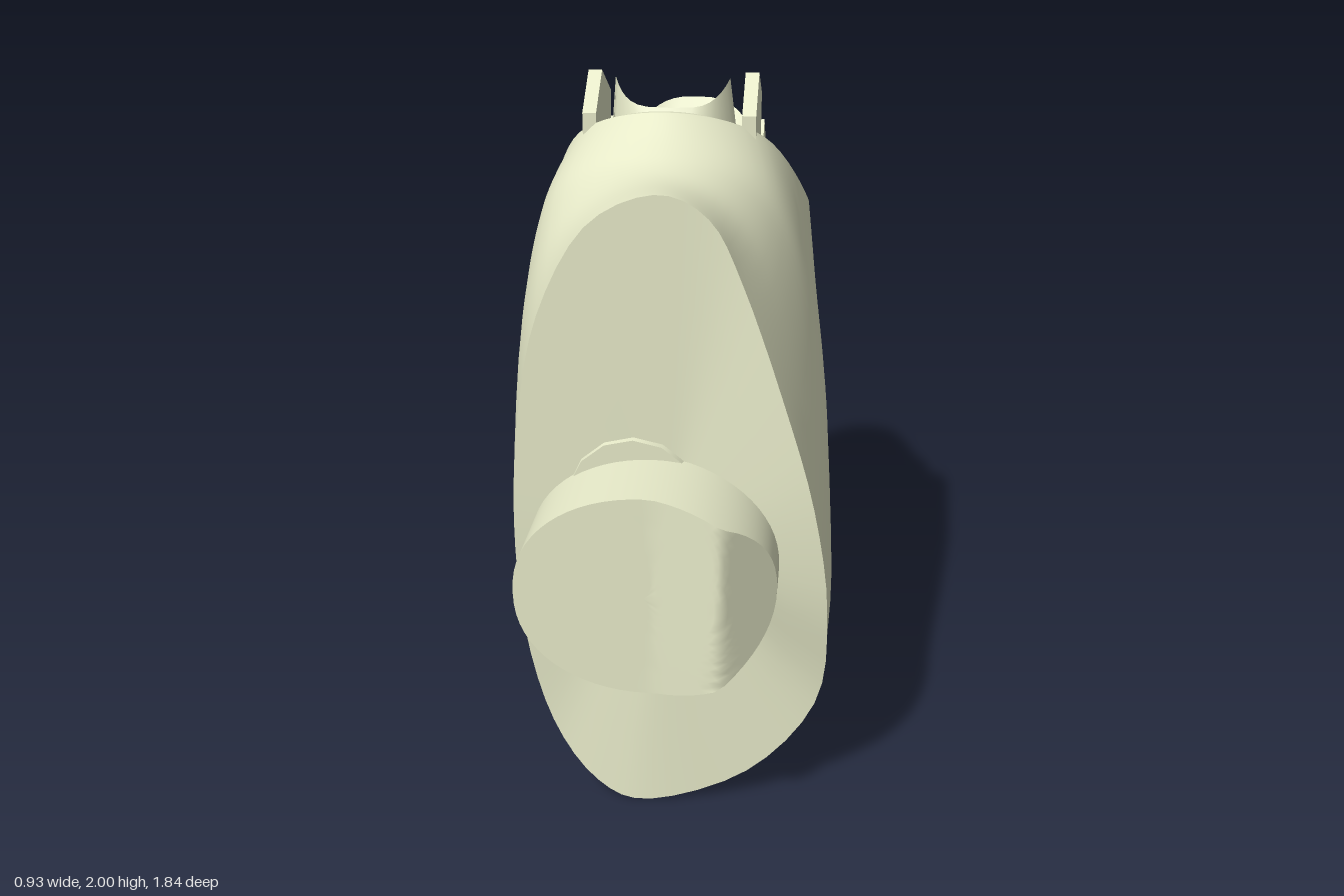
import * as THREE from 'three';

const N = 64; // points around each ring
const V = (x, y, z) => new THREE.Vector3(x, y, z);
const material = new THREE.MeshStandardMaterial({ color: 0xe6e9c8 });

// Ring points run top, left (+x), bottom, right
function ring(fn) {
  return Array.from({ length: N }, (_, j) => fn((j / N) * Math.PI * 2));
}

function splineRing(pts) {
  const c = new THREE.CatmullRomCurve3(pts.map(p => V(...p)), true, 'catmullrom', 0.5);
  return Array.from({ length: N }, (_, j) => c.getPoint(j / N));
}

// Skin a list of equal-length closed rings
function loft(name, rings) {
  const pos = [], idx = [];
  rings.forEach(r => r.forEach(p => pos.push(p.x, p.y, p.z)));
  for (let i = 0; i < rings.length - 1; i++) {
    for (let j = 0; j < N; j++) {
      const k = (j + 1) % N;
      const a = i * N + j, b = i * N + k, c = a + N, d = b + N;
      idx.push(a, b, c, b, d, c);
    }
  }
  const g = new THREE.BufferGeometry();
  g.setAttribute('position', new THREE.Float32BufferAttribute(pos, 3));
  g.setIndex(idx);
  g.computeVertexNormals();
  const m = new THREE.Mesh(g, material);
  m.name = name;
  return m;
}

const blend = (from, to, t) => from.map((p, j) => p.clone().lerp(to[j], t));

export function createModel() {
  const group = new THREE.Group();
  group.name = 'model';

  // Outline of the front face
  const outline = [
    [-.02, 1.83, .62], [.12, 1.77, .62], [.21, 1.6, .63], [.32, 1.3, .66],
    [.41, 1, .68], [.455, .68, .66], [.43, .34, .59], [.24, .1, .6],
    [-.04, 0, .63], [-.2, .05, .62], [-.33, .24, .6], [-.4, .55, .61],
    [-.415, .9, .62], [-.39, 1.22, .62], [-.33, 1.5, .62], [-.2, 1.74, .62],
  ];
  // Body sections behind it, ending at the top rim
  const sections = [outline,
    [[-.03, 1.81, .42], [.25, 1.6, .4], [.445, .9, .42], [.4, .38, .34],
      [-.04, .08, .26], [-.4, .38, .34], [-.45, .95, .4], [-.36, 1.6, .4]],
    [[-.04, 1.82, .3], [.26, 1.66, .2], [.43, 1.08, .12], [.34, .56, -.02],
      [-.05, .3, -.14], [-.4, .6, -.02], [-.465, 1.1, .12], [-.38, 1.66, .2]],
    [[-.05, 1.86, .2], [.26, 1.73, .08], [.39, 1.3, -.15], [.29, 1, -.4],
      [-.05, .88, -.55], [-.38, 1, -.4], [-.46, 1.3, -.15], [-.37, 1.73, .08]],
    [[-.05, 1.925, .09], [.22, 1.83, -.06], [.35, 1.55, -.4], [.24, 1.53, -.75],
      [-.05, 1.68, -.92], [-.34, 1.53, -.75], [-.45, 1.55, -.4], [-.32, 1.83, -.06]],
  ].map(splineRing);
  const strands = sections[0].map((_, j) =>
    new THREE.CatmullRomCurve3(sections.map(s => s[j]), false, 'catmullrom', 0.5));
  const skin = Array.from({ length: 25 }, (_, i) => strands.map(s => s.getPoint(i / 24)));
  group.add(loft('body', skin));

  // Slightly dished front face
  const face = skin[0];
  const middle = face.map(() => V(0, .85, .61));
  group.add(loft('frontFace', [0, .25, .5, .75, 1].map(t => blend(middle, face, t))));

  // Rounded lip running inward from the rim
  const rim = skin[24];
  const lip = ring(a => {
    const c = Math.cos(a), s = Math.sin(a);
    return V(-.05 + .25 * Math.sign(s) * Math.abs(s) ** .7, 1.63 + .045 * c + .195 * c * c, -.43 + .44 * c);
  });
  const lipRings = [0, .25, .5, .75, 1].map(t => {
    const r = blend(rim, lip, t);
    r.forEach(p => { p.y += .018 * Math.sin(t * Math.PI); });
    return r;
  });
  group.add(loft('rimLip', lipRings));

  // Deep pocket slanting forward; its front edge rises to meet the plates
  const pocketRing = fn => ring(a => {
    const c = Math.cos(a), s = Math.sin(a);
    const x = -.05 + .21 * Math.sign(s) * Math.abs(s) ** .5;
    return fn(x, c);
  });
  const mouth = pocketRing((x, c) => {
    const z = -.425 + .405 * c;
    return V(x, z > -.13 ? 1.9 - .77 * z : 1.59 + .045 * c + .185 * c * c, z);
  });
  const floor = pocketRing((x, c) => V(x, .5, .175 + .225 * c));
  group.add(loft('pocketEdge', [lip, mouth]));
  group.add(loft('pocketWall', [mouth, floor]));
  group.add(loft('pocketFloor', [floor, floor.map(() => V(-.05, .5, .175))]));

  // Notched plates on both sides of the pocket
  const plate = new THREE.Shape();
  plate.moveTo(0, 1.65);
  plate.lineTo(0, 1.9);
  plate.lineTo(-.13, 2);
  plate.lineTo(-.295, 1.91);
  plate.lineTo(-.28, 1.81);
  plate.quadraticCurveTo(-.32, 1.73, -.39, 1.73);
  plate.quadraticCurveTo(-.46, 1.735, -.485, 1.79);
  plate.lineTo(-.67, 1.64);
  plate.lineTo(-.68, 1.58);
  plate.lineTo(-.4, 1.55);
  plate.closePath();
  const plateGeo = new THREE.ExtrudeGeometry(plate, { depth: .04, bevelEnabled: false, curveSegments: 8 });
  plateGeo.rotateY(-Math.PI / 2);
  for (const [name, x] of [['leftPlate', .2], ['rightPlate', -.26]]) {
    const m = new THREE.Mesh(plateGeo, material);
    m.name = name;
    m.position.x = x;
    group.add(m);
  }

  // Front peg with a wavy end that falls away on its left
  const endZ = x => x < 0 ? .87 : x < .18 ? .87 + .05 * (x / .18) : .92 - (x - .18);
  const pegRing = (t, z) => ring(a => {
    const x = -.025 + t * .345 * Math.sin(a);
    const c = Math.cos(a);
    return V(x, .818 + t * .288 * Math.sign(c) * Math.abs(c) ** .9, z ?? endZ(x));
  });
  group.add(loft('pegEnd', Array.from({ length: 21 }, (_, i) => pegRing(i / 20))));
  group.add(loft('pegSide', [pegRing(1), pegRing(1, .58)]));

  // Small boss on the face above the peg
  const boss = new THREE.Mesh(new THREE.CylinderGeometry(.18, .2, .14, 14), material);
  boss.name = 'boss';
  boss.rotation.x = Math.PI / 2;
  boss.position.set(-.08, .98, .56);
  group.add(boss);

  return group;
}
